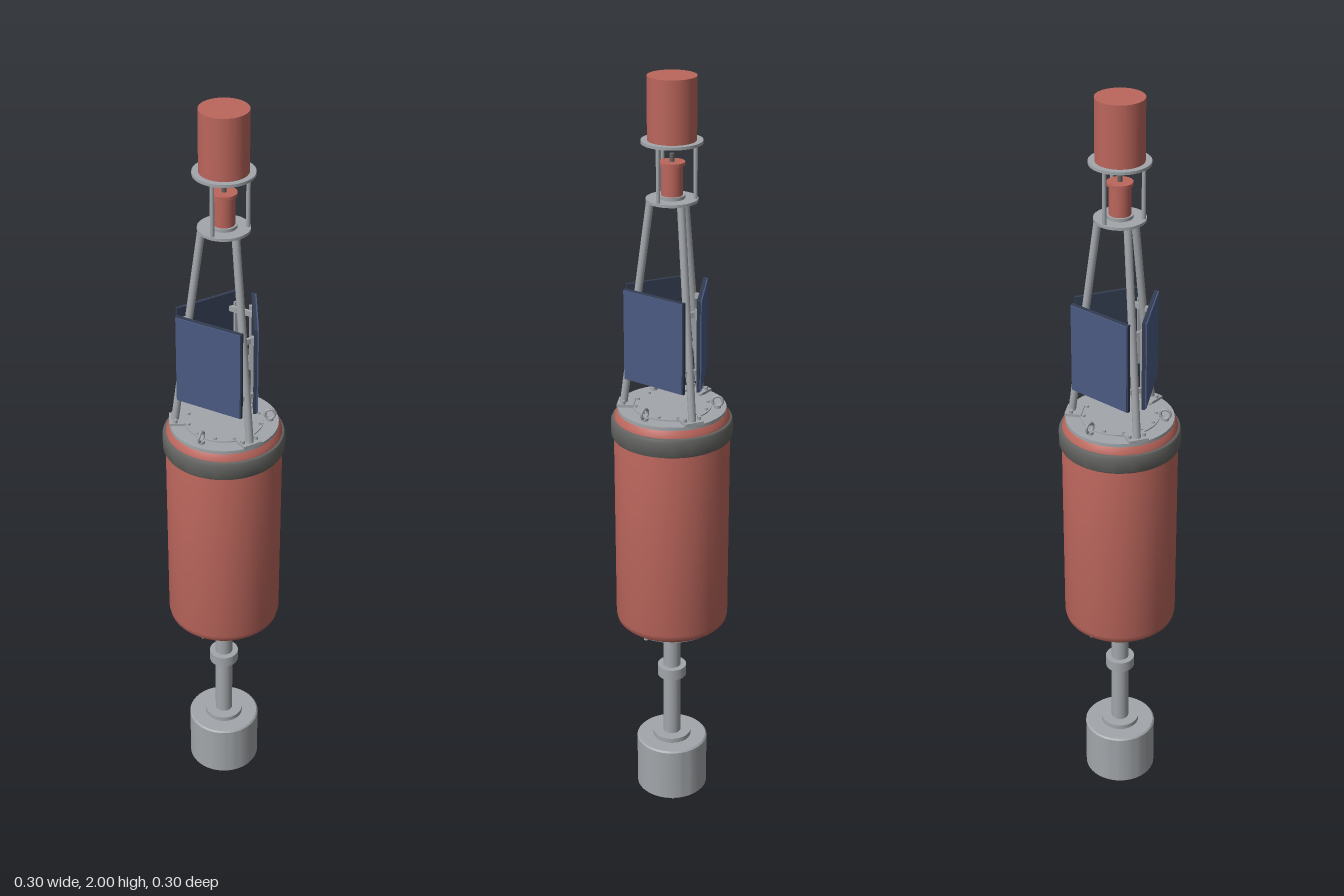
import * as THREE from 'three';
import { toCreasedNormals } from 'three/addons/utils/BufferGeometryUtils.js';

const paint = (name, color) => Object.assign(new THREE.MeshStandardMaterial({ color }), { name });

export function createModel() {
  const model = new THREE.Group();
  model.name = 'buoy';
  const red = paint('hull red', 0xbb665c);
  const grey = paint('metal grey', 0xa2a6aa);
  const dark = paint('rubber grey', 0x636361);
  const navy = paint('panel navy', 0x4b5a82);
  const frameMat = paint('panel frame', 0x343d52);

  const add = (parent, name, geometry, material, x = 0, y = 0, z = 0) => {
    const mesh = new THREE.Mesh(geometry, material);
    mesh.name = name;
    mesh.position.set(x, y, z);
    parent.add(mesh);
    return mesh;
  };
  // Upright cylinder between two heights
  const cyl = (parent, name, mat, r, y0, y1, x = 0, z = 0, sides = 48) =>
    add(parent, name, new THREE.CylinderGeometry(r, r, y1 - y0, sides), mat, x, (y0 + y1) / 2, z);
  const lathe = (name, mat, pts) => add(model, name, toCreasedNormals(
    new THREE.LatheGeometry(pts.map(p => new THREE.Vector2(...p)), 64), 0.6), mat);
  const box = (parent, name, mat, w, h, d, x, y, z) =>
    add(parent, name, new THREE.BoxGeometry(w, h, d), mat, x, y, z);
  const rod = (parent, name, mat, r, a, b) => {
    const from = new THREE.Vector3(...a), dir = new THREE.Vector3(...b).sub(from);
    const mesh = add(parent, name, new THREE.CylinderGeometry(r, r, dir.length(), 16), mat);
    mesh.position.copy(from).addScaledVector(dir, 0.5);
    mesh.quaternion.setFromUnitVectors(new THREE.Vector3(0, 1, 0), dir.normalize());
    return mesh;
  };
  // Three copies around the axis; local +z points outwards
  const around = (name, start, build) => {
    for (let i = 0; i < 3; i++) {
      const g = new THREE.Group();
      g.name = name;
      g.rotation.y = start + i * Math.PI * 2 / 3;
      build(g);
      model.add(g);
    }
  };

  // Ballast weight, lower pipe and mooring lug
  lathe('ballastWeight', grey, [[0, 0.062], [0.09, 0.062], [0.094, 0.066], [0.094, 0.211], [0.09, 0.215], [0, 0.215]]);
  cyl(model, 'ballastFlange', grey, 0.05, 0.215, 0.228);
  cyl(model, 'lowerPipe', grey, 0.023, 0.22, 0.58, 0, 0, 32);
  cyl(model, 'pipeCollar', grey, 0.038, 0.406, 0.436);
  const lug = new THREE.Shape();
  lug.moveTo(0.025, 0.065);
  lug.lineTo(0.025, 0.025);
  lug.absarc(0, 0.025, 0.025, 0, -Math.PI, true);
  lug.lineTo(-0.025, 0.065);
  const eye = new THREE.Path();
  eye.absarc(0, 0.028, 0.011, 0, Math.PI * 2);
  lug.holes.push(eye);
  const lugGeo = new THREE.ExtrudeGeometry(lug, { depth: 0.008, bevelEnabled: false, curveSegments: 16 });
  lugGeo.translate(0, 0, -0.004).rotateY(Math.PI / 2);
  add(model, 'mooringLug', lugGeo, grey);

  // Hull with rounded rims, end plates and bumper
  lathe('hull', red, [[0, 0.578], [0.12, 0.578], [0.134, 0.583], [0.142, 0.591], [0.145, 0.605],
    [0.145, 1.152], [0.142, 1.166], [0.135, 1.176], [0.122, 1.18], [0, 1.18]]);
  lathe('bumperBand', dark, [[0.144, 1.108], [0.149, 1.11], [0.152, 1.116], [0.152, 1.15], [0.149, 1.157], [0.143, 1.159]]);
  cyl(model, 'bottomPlate', grey, 0.122, 0.574, 0.58);
  cyl(model, 'bottomFlange', grey, 0.055, 0.566, 0.576);
  cyl(model, 'deckPlate', grey, 0.135, 1.176, 1.185);
  cyl(model, 'deckHatch', grey, 0.098, 1.185, 1.188);
  for (let i = 0; i < 12; i++) {
    const a = (i + 0.5) * Math.PI / 6;
    cyl(model, 'hatchBolt', grey, 0.0045, 1.186, 1.193, 0.09 * Math.sin(a), 0.09 * Math.cos(a), 8);
    if (i % 2) cyl(model, 'flangeBolt', grey, 0.005, 0.561, 0.568, 0.044 * Math.sin(a), 0.044 * Math.cos(a), 8);
  }

  // Lifting eyes above, tie rod ends below
  around('liftingEye', 0, g => {
    cyl(g, 'eyeBase', grey, 0.009, 1.184, 1.192, 0, 0.113, 16);
    add(g, 'eyeRing', new THREE.TorusGeometry(0.0125, 0.0035, 8, 24), grey, 0, 1.202, 0.113).rotation.y = Math.PI / 2;
    cyl(g, 'tieRodEnd', grey, 0.006, 0.566, 0.58, 0, 0.113, 12);
  });

  // Tower legs with feet and panel brackets
  const legRadius = y => 0.121 - (y - 1.185) * 0.133;
  around('towerLeg', Math.PI / 3, g => {
    rod(g, 'leg', grey, 0.0095, [0, 1.185, legRadius(1.185)], [0, 1.712, legRadius(1.712)]);
    box(g, 'foot', grey, 0.05, 0.008, 0.042, 0, 1.188, 0.114);
    for (const s of [-1, 1]) cyl(g, 'footBolt', grey, 0.005, 1.19, 1.2, s * 0.019, 0.119, 8);
    for (const y of [1.31, 1.45]) {
      const r = legRadius(y), reach = 0.02 + (0.115 - r) * 0.577;
      box(g, 'panelBracket', grey, reach * 2, 0.014, 0.008, 0, y, r);
    }
  });

  // Solar panels
  around('solarPanel', 0, g => {
    box(g, 'panelFrame', frameMat, 0.177, 0.232, 0.008, 0, 1.376, 0.072);
    box(g, 'panelFace', navy, 0.173, 0.228, 0.006, 0, 1.376, 0.0765);
    for (const s of [-1, 1]) box(g, 'panelRail', grey, 0.01, 0.18, 0.006, s * 0.073, 1.376, 0.065);
  });

  // Lantern stage
  cyl(model, 'lowerStage', grey, 0.062, 1.707, 1.714);
  cyl(model, 'lanternBase', grey, 0.031, 1.714, 1.722, 0, 0, 32);
  cyl(model, 'lantern', red, 0.026, 1.722, 1.795, 0, 0, 32);
  cyl(model, 'lanternCap', red, 0.031, 1.793, 1.801, 0, 0, 32);
  cyl(model, 'lanternTip', dark, 0.006, 1.8, 1.82, 0, 0, 12);
  around('stagePost', 0, g => cyl(g, 'post', grey, 0.005, 1.708, 1.85, 0, 0.055, 12));

  // Top stage and cylinder
  cyl(model, 'upperStage', grey, 0.073, 1.845, 1.852);
  cyl(model, 'topCylinder', red, 0.058, 1.852, 2);
  return model;
}
